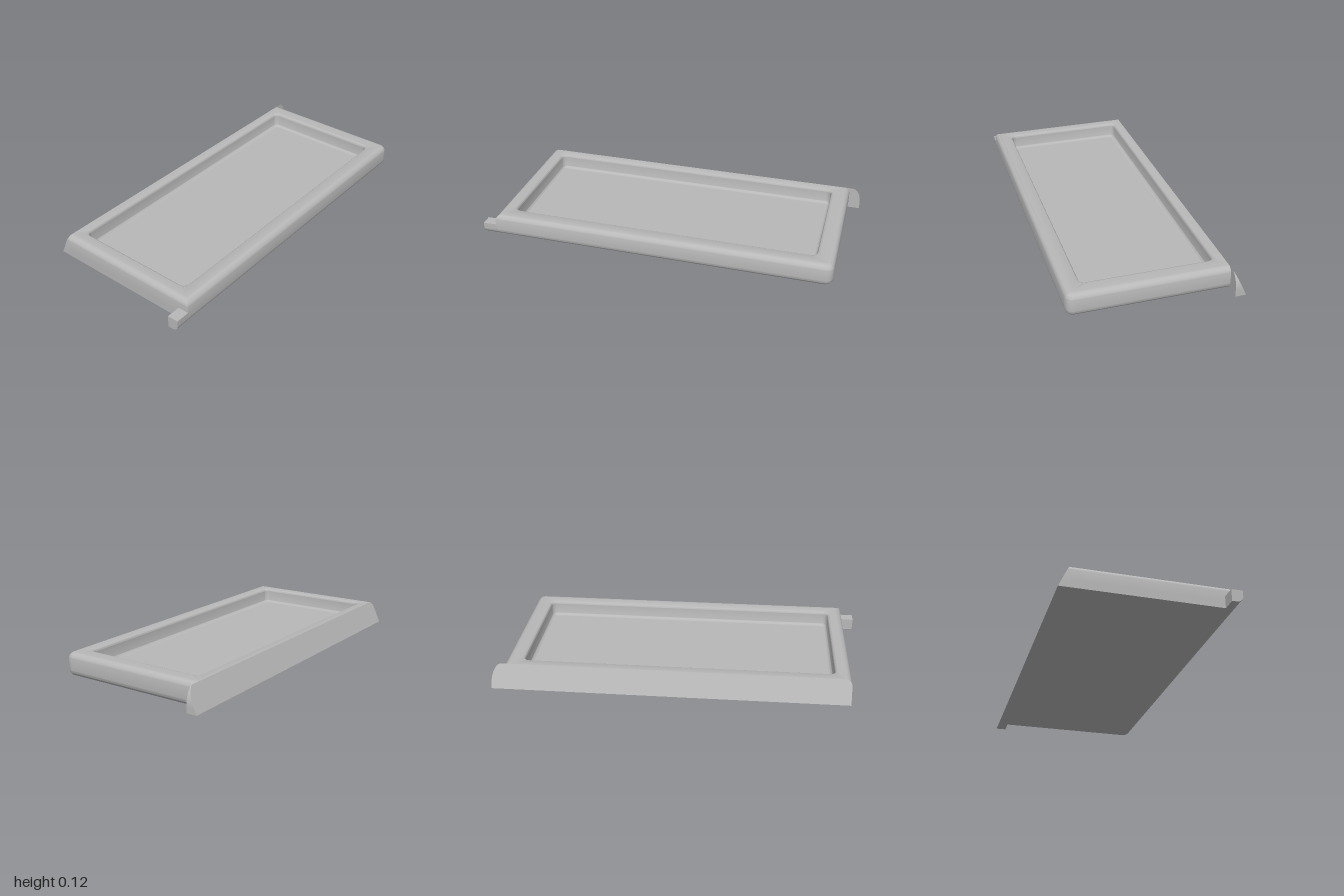
import * as THREE from 'three';
import { toCreasedNormals } from 'three/addons/utils/BufferGeometryUtils.js';

const STEPS = 8;
const H = 0.125, LEFT = -0.925, RIGHT = 0.935, BACK = -0.387, FRONT = 0.445;

// Rounded rectangle loop; radii run front +x, back +x, back -x, front -x
function ring(y, x0, x1, z0, z1, radii) {
  const corners = [[x1, z1, -1, -1], [x1, z0, -1, 1], [x0, z0, 1, 1], [x0, z1, 1, -1]];
  const points = [];
  corners.forEach(([x, z, sx, sz], k) => {
    const r = Math.max(radii[k], 0);
    for (let i = 0; i <= STEPS; i++) {
      const a = (k + i / STEPS) * Math.PI / 2;
      points.push(new THREE.Vector3(x + sx * r + r * Math.sin(a), y, z + sz * r + r * Math.cos(a)));
    }
  });
  return points;
}

function fromTriangles(triangles) {
  const geometry = new THREE.BufferGeometry();
  geometry.setFromPoints(triangles.flat());
  return toCreasedNormals(geometry, 0.6);
}

// Skin between successive loops, skipping collapsed triangles
function loft(rings) {
  const triangles = [];
  const add = (a, b, c) => {
    const area = b.clone().sub(a).cross(c.clone().sub(a)).length();
    if (area > 1e-9) triangles.push([a, b, c]);
  };
  for (let i = 0; i < rings.length - 1; i++) {
    const n = rings[i].length;
    for (let j = 0; j < n; j++) {
      const k = (j + 1) % n;
      add(rings[i][j], rings[i][k], rings[i + 1][k]);
      add(rings[i][j], rings[i + 1][k], rings[i + 1][j]);
    }
  }
  return fromTriangles(triangles);
}

// Flat cap over one loop
function cap(points, up) {
  const centre = new THREE.Vector3(0, points[0].y, 0);
  const triangles = [];
  points.forEach((p, i) => {
    const q = points[(i + 1) % points.length];
    if (p.distanceTo(q) > 1e-6) triangles.push(up ? [centre, p, q] : [centre, q, p]);
  });
  return fromTriangles(triangles);
}

export function createModel() {
  const group = new THREE.Group();
  const grey = new THREE.MeshStandardMaterial({ color: 0xb8b8b8 });
  grey.name = 'grey';
  const add = (name, geometry) => {
    const mesh = new THREE.Mesh(geometry, grey);
    mesh.name = name;
    group.add(mesh);
  };

  // Outer shell: front and +x sides filleted top and bottom, -x side only on top
  const R = 0.035;
  const outer = (y, inset, leftInset) => ring(y, LEFT + leftInset, RIGHT - inset, BACK, FRONT - inset,
    [0.042 - inset, 0, 0, 0]);
  const inner = (y, grow) => ring(y, -0.84 - grow, 0.835 + grow, -0.332 - grow, 0.352 + grow,
    Array(4).fill(0.03 + grow));
  const rings = [];
  const angle = i => i / STEPS * Math.PI / 2;
  for (let i = 0; i <= STEPS; i++) {
    rings.push(outer(R * (1 - Math.cos(angle(i))), R * (1 - Math.sin(angle(i))), 0));
  }
  for (let i = 0; i <= STEPS; i++) {
    const inset = R * (1 - Math.cos(angle(i)));
    rings.push(outer(H - R + R * Math.sin(angle(i)), inset, inset));
  }

  // Recess: rounded lip, straight wall, coved floor edge
  const lip = 0.015, cove = 0.02, floorY = 0.04;
  for (let i = 0; i <= STEPS; i++) {
    rings.push(inner(H - lip * (1 - Math.cos(angle(i))), lip * (1 - Math.sin(angle(i)))));
  }
  for (let i = 0; i <= STEPS; i++) {
    rings.push(inner(floorY + cove * (1 - Math.sin(angle(i))), -cove * (1 - Math.cos(angle(i)))));
  }
  add('trayRim', loft(rings));
  add('trayFloor', cap(rings[rings.length - 1], true));
  add('trayBase', cap(rings[0], false));

  // Sloping wedge along the back, overhanging at +x with a rounded end
  const outline = new THREE.Shape();
  outline.moveTo(LEFT, 0);
  outline.lineTo(1, 0);
  outline.lineTo(1, 0.03);
  outline.absellipse(0.945, 0.03, 0.055, H - 0.03, 0, Math.PI / 2, false);
  outline.lineTo(LEFT + R, H);
  outline.absarc(LEFT + R, H - R, R, Math.PI / 2, Math.PI, false);
  const wedge = new THREE.ExtrudeGeometry(outline, { depth: 1, bevelEnabled: false, curveSegments: 12 });
  const p = wedge.attributes.position;
  for (let i = 0; i < p.count; i++) {
    p.setZ(i, BACK - (1 - p.getZ(i)) * 0.058 * (1 - p.getY(i) / H));
  }
  add('backWedge', toCreasedNormals(wedge, 0.5));

  // Small tab at the front -x corner, rounded along its lower front edge
  const side = new THREE.Shape();
  side.moveTo(0.385, 0);
  side.lineTo(FRONT - R, 0);
  side.absarc(FRONT - R, R, R, -Math.PI / 2, 0, false);
  side.lineTo(FRONT, 0.065);
  side.lineTo(0.385, 0.065);
  const tab = new THREE.ExtrudeGeometry(side, { depth: 1 + LEFT, bevelEnabled: false, curveSegments: 8 });
  tab.rotateY(-Math.PI / 2).translate(LEFT, 0, 0);
  add('cornerTab', toCreasedNormals(tab, 0.5));

  return group;
}
